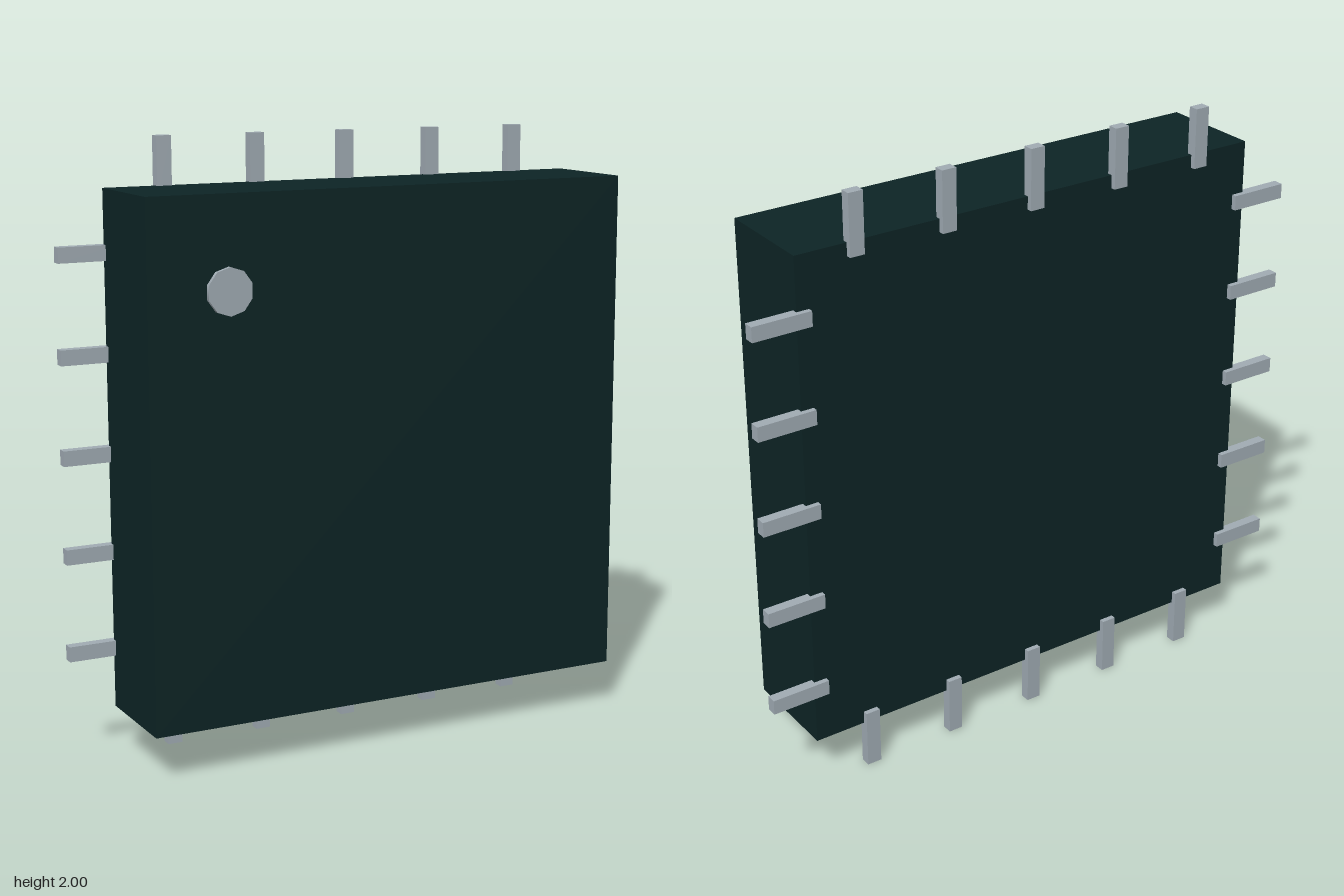
import * as THREE from 'three';

export function createModel() {
  const model = new THREE.Group();
  model.name = 'chipPackage';

  const casing = new THREE.MeshStandardMaterial({ color: 0x0d2425 });
  casing.name = 'dark casing';
  const metal = new THREE.MeshStandardMaterial({ color: 0xa1acb4 });
  metal.name = 'pale metal';

  const half = 0.843, front = 0.178, back = -0.175, midY = 1;

  const add = (name, geometry, material, x, y, z) => {
    const mesh = new THREE.Mesh(geometry, material);
    mesh.name = name;
    mesh.position.set(x, y, z);
    model.add(mesh);
    return mesh;
  };

  // Square casing
  add('body', new THREE.BoxGeometry(2 * half, 2 * half, front - back), casing,
    0, midY, (front + back) / 2);

  // Round orientation mark in the upper corner of the front
  const mark = new THREE.CylinderGeometry(0.076, 0.076, 0.015, 10);
  mark.rotateX(Math.PI / 2);
  add('orientationMark', mark, metal, -0.575, midY + 0.545, front + 0.0075);

  // Five pins on each edge, straddling the plane of the back face
  const length = 0.2, width = 0.05, depth = 0.035;
  const across = new THREE.BoxGeometry(length, width, depth);
  const upright = new THREE.BoxGeometry(width, length, depth);
  const reach = 1 - length / 2;
  for (let i = -2; i <= 2; i++) {
    const offset = i * 0.321;
    add('leftPin', across, metal, reach, midY + offset, back);
    add('rightPin', across, metal, -reach, midY + offset, back);
    add('topPin', upright, metal, offset, midY + reach, back);
    add('bottomPin', upright, metal, offset, midY - reach, back);
  }

  return model;
}
